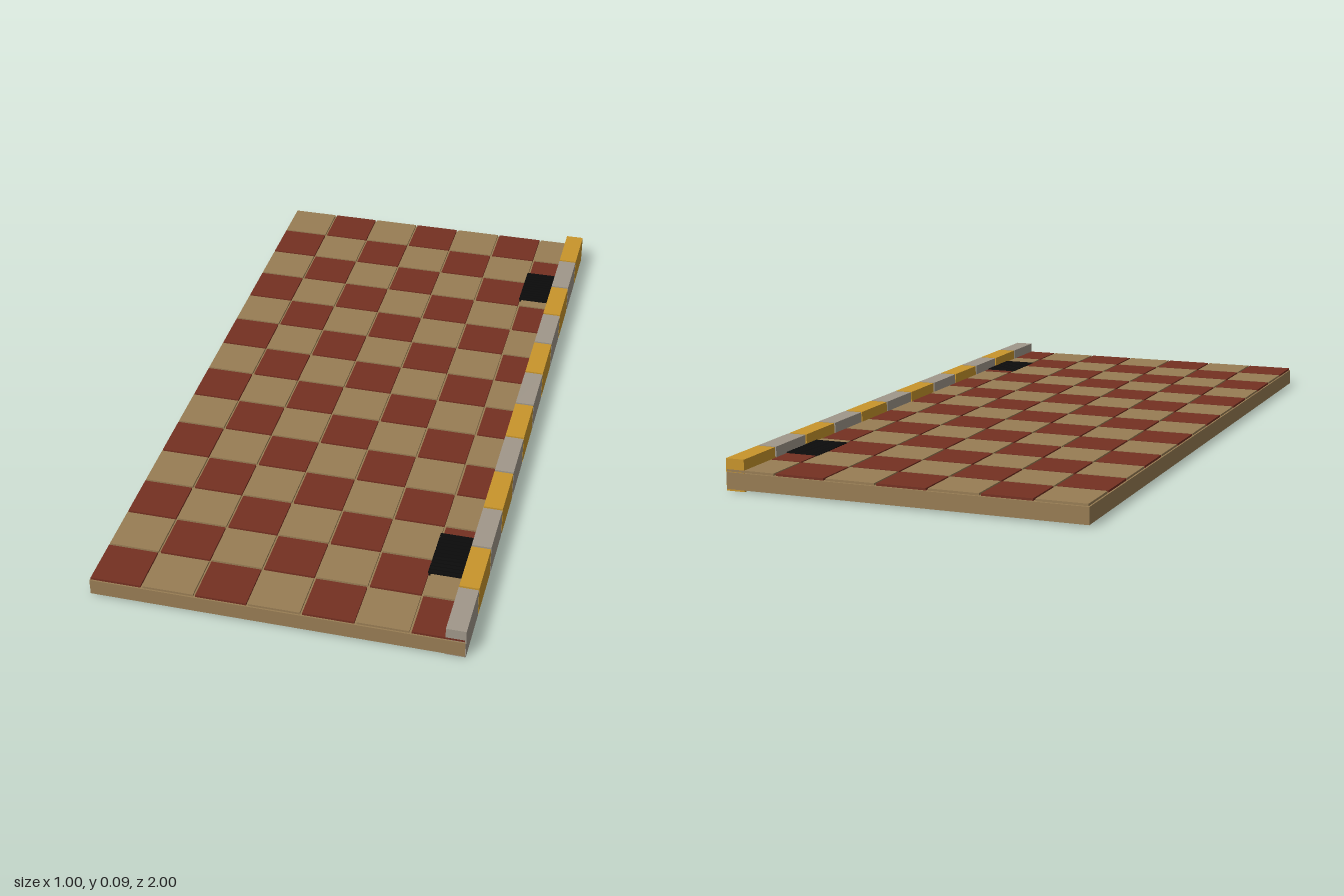
import * as THREE from 'three';

export function createModel() {
  const model = new THREE.Group();
  model.name = 'pavementSection';

  const mat = (name, color, side = THREE.FrontSide) => {
    const m = new THREE.MeshStandardMaterial({ color, side });
    m.name = name;
    return m;
  };
  const sand = mat('sandStone', 0x987d54, THREE.DoubleSide);
  const brick = mat('redBrick', 0x743021);
  const yellow = mat('curbYellow', 0xc8952b);
  const grey = mat('curbGrey', 0xa0978a);
  const black = mat('drainBlack', 0x0b0b0b);

  // Box given by its minimum and maximum corners
  const box = (parent, name, material, [x0, y0, z0], [x1, y1, z1]) => {
    const mesh = new THREE.Mesh(new THREE.BoxGeometry(x1 - x0, y1 - y0, z1 - z0), material);
    mesh.position.set((x0 + x1) / 2, (y0 + y1) / 2, (z0 + z1) / 2);
    mesh.name = name;
    parent.add(mesh);
    return mesh;
  };
  const group = (name) => {
    const g = new THREE.Group();
    g.name = name;
    model.add(g);
    return g;
  };

  // Base slab: a shell left open underneath
  const slab = box(model, 'baseSlab', sand, [-0.5, 0.005, -1], [0.498, 0.05, 1]);
  const index = Array.from(slab.geometry.index.array);
  index.splice(18, 6); // bottom face
  slab.geometry.setIndex(index);
  slab.geometry.clearGroups();

  // Chequered paving tiles
  const tiles = group('pavingTiles');
  const cols = 7, rows = 14, size = 1 / cols, gap = 0.003;
  for (let i = 0; i < cols; i++) {
    for (let j = 0; j < rows; j++) {
      const x = -0.5 + i * size, z = -1 + j * size;
      const red = (i + j) % 2 === 1;
      box(tiles, red ? 'redTile' : 'sandTile', red ? brick : sand,
        [x + gap, 0.051, z + gap], [x + size - gap, 0.057, z + size - gap]);
    }
  }

  // Curb of alternating blocks along the left side
  const curb = group('curb');
  const blocks = 12, len = 2 / blocks;
  for (let k = 0; k < blocks; k++) {
    const z = -1 + k * len;
    box(curb, 'curbBlock', k % 2 ? grey : yellow,
      [0.447, 0, z + gap], [0.5, 0.086, z + len - gap]);
  }

  // Drain grates beside the curb: a plate with raised bars
  for (const z0 of [-0.775, 0.602]) {
    const drain = group('drainGrate');
    const length = 0.168, bars = 12, pitch = length / bars;
    box(drain, 'drainPlate', black, [0.354, 0.051, z0], [0.448, 0.058, z0 + length]);
    for (let b = 0; b < bars; b++) {
      const z = z0 + b * pitch;
      box(drain, 'drainBar', black, [0.352, 0.052, z + 0.002], [0.448, 0.06, z + pitch - 0.002]);
    }
  }

  return model;
}
